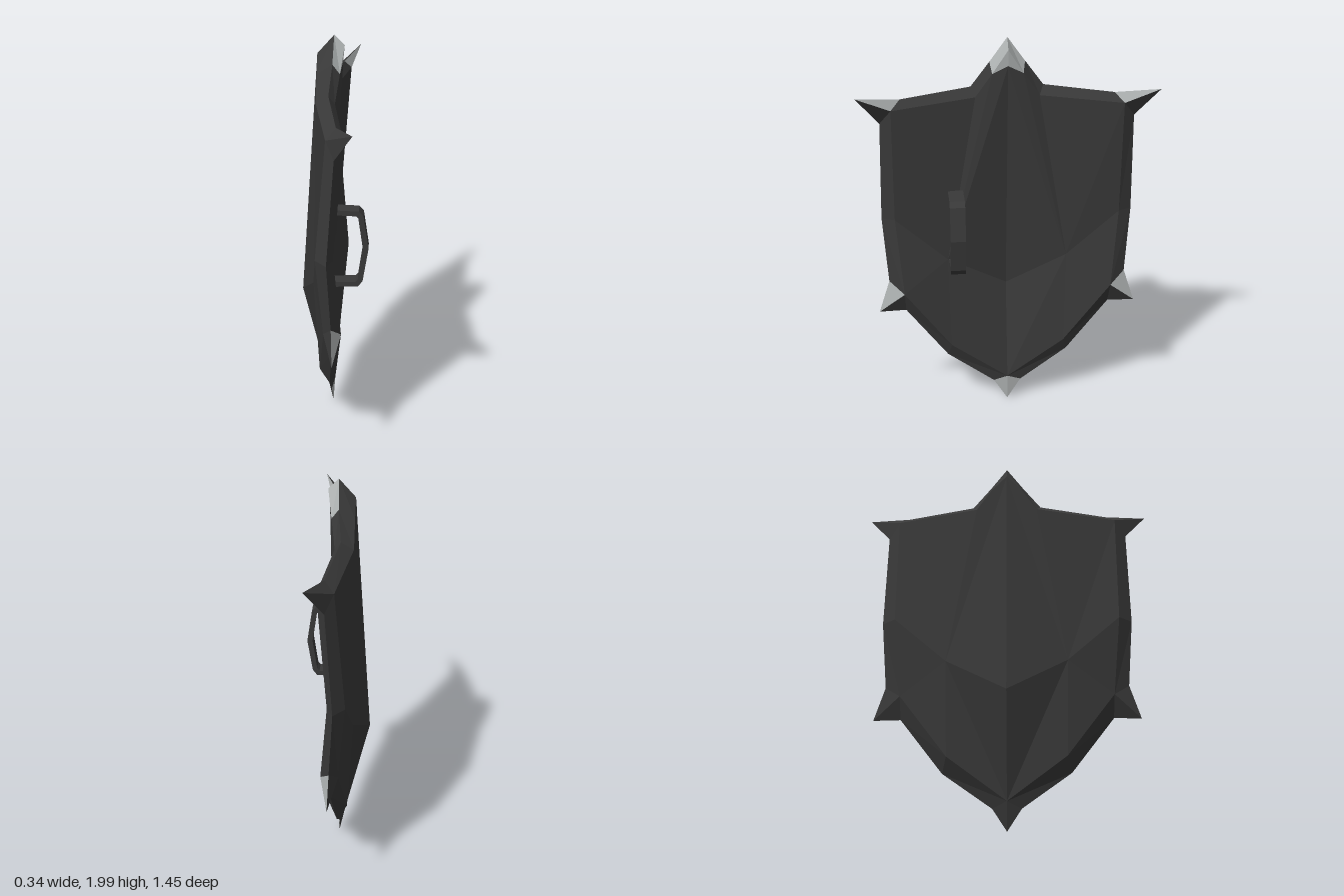
import * as THREE from 'three';

const iron = new THREE.MeshStandardMaterial({ color: 0x393939 });
iron.name = 'dark iron';
const steel = new THREE.MeshStandardMaterial({ color: 0xb0b4b4 });
steel.name = 'worn steel';

// Inset corners of one half, top to bottom: [xBack, xFront, y, z]
const INSET = [
  [0.04, -0.09, 1.95, 0],        // crest
  [0.02, -0.09, 1.83, 0.075],    // crest shoulder
  [0.0, -0.09, 1.71, 0.155],     // valley
  [0.055, -0.025, 1.675, 0.56],  // upper corner
  [0.01, -0.075, 1.09, 0.56],    // side
  [0.045, -0.04, 0.69, 0.525],   // lower corner
  [0.013, -0.07, 0.365, 0.29],   // lower slope
  [-0.005, -0.045, 0.15, 0],     // foot
];

// Outer edge of the same half: [x, y, z, index of its inset corner]
const EDGE = [
  [-0.01, 2, 0, 0],
  [-0.015, 1.88, 0.085, 1],
  [-0.03, 1.755, 0.175, 2],
  [0.02, 1.72, 0.515, 3],
  [0.1, 1.755, 0.725, 3],
  [0.015, 1.6, 0.615, 3],
  [-0.02, 1.09, 0.625, 4],
  [0, 0.75, 0.6, 5],
  [0.006, 0.58, 0.655, 5],
  [0, 0.58, 0.52, 5],
  [-0.02, 0.295, 0.31, 6],
  [-0.02, 0.12, 0.07, 7],
  [-0.015, 0.01, 0, 7],
];
const STEEL_SPANS = [0, 3, 7, 11]; // edge spans that end in a bare steel spike

// Collects triangles of one half and mirrors them to the other
class Faces {
  constructor() { this.points = []; }
  tri(a, b, c, flip = false) {
    const [p, q, r] = flip ? [a, c, b] : [a, b, c];
    const m = (v) => [v[0], v[1], -v[2]];
    this.points.push(...p, ...q, ...r, ...m(p), ...m(r), ...m(q));
  }
  mesh(name, material) {
    const g = new THREE.BufferGeometry();
    g.setAttribute('position', new THREE.Float32BufferAttribute(this.points, 3));
    g.computeVertexNormals();
    const mesh = new THREE.Mesh(g, material);
    mesh.name = name;
    return mesh;
  }
}

// Bevelled rim between the outer edge and an inset ring
function addRim(ring, flip, pick) {
  for (let i = 0; i < EDGE.length - 1; i++) {
    const a = EDGE[i], b = EDGE[i + 1];
    const ia = ring[a[3]], ib = ring[b[3]];
    const faces = pick(i);
    faces.tri(a.slice(0, 3), b.slice(0, 3), ib, flip);
    if (ia !== ib) faces.tri(a.slice(0, 3), ib, ia, flip);
  }
}

// Folded panel: a fan around a point inside each half
function addPanel(faces, loop, hub, flip) {
  loop.forEach((p, i) => faces.tri(hub, p, loop[(i + 1) % loop.length], flip));
}

export function createModel() {
  const group = new THREE.Group();
  group.name = 'shield';

  const back = INSET.map(([xb, , y, z]) => [xb, y, z]);
  const front = INSET.map(([, xf, y, z]) => [xf, y, z]);
  front[0][1] = 1.91;

  const frontPanel = new Faces(), frontRim = new Faces();
  const backPanel = new Faces(), backRim = new Faces(), spikes = new Faces();

  // Outward side, with a raised boss on the centre line
  addRim(front, true, () => frontRim);
  addPanel(frontPanel, [...front, [-0.17, 0.67, 0]], [-0.098, 0.85, 0.3], true);

  // Inner side, with steel spikes and a steel patch on the crest
  addRim(back, false, (i) => (STEEL_SPANS.includes(i) ? spikes : backRim));
  const patch = [0.032, 1.87, 0];
  spikes.tri(back[0], back[1], patch);
  addPanel(backPanel, [patch, ...back.slice(1), [-0.085, 0.67, 0]], [-0.012, 0.85, 0.3], false);

  group.add(
    frontPanel.mesh('frontPanel', iron),
    frontRim.mesh('frontRim', iron),
    backPanel.mesh('backPanel', iron),
    backRim.mesh('backRim', iron),
    spikes.mesh('spikeFaces', steel),
  );

  // Bent strap handle
  const outline = [
    [-0.03, 1.23], [0.12, 1.225], [0.142, 1.2], [0.167, 1.03], [0.14, 0.86], [0.118, 0.83], [-0.03, 0.825],
    [-0.03, 0.85], [0.105, 0.855], [0.117, 0.87], [0.14, 1.03], [0.117, 1.19], [0.108, 1.2], [-0.03, 1.205],
  ];
  const shape = new THREE.Shape(outline.map(([x, y]) => new THREE.Vector2(x, y)));
  const handle = new THREE.Mesh(
    new THREE.ExtrudeGeometry(shape, { depth: 0.075, bevelEnabled: false }), iron);
  handle.name = 'handle';
  handle.position.z = 0.22;
  group.add(handle);

  return group;
}
